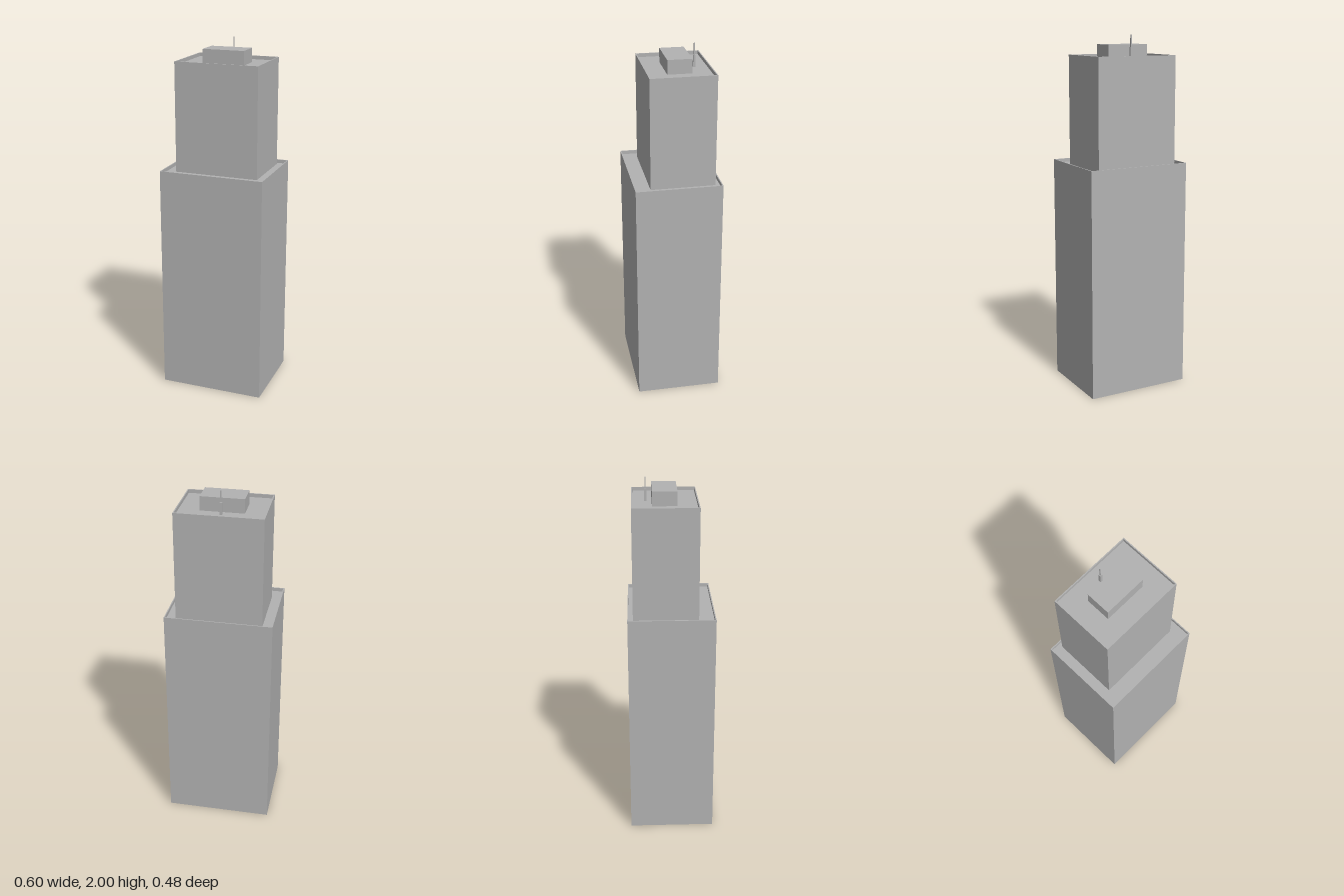
import * as THREE from 'three';

const concrete = new THREE.MeshStandardMaterial({ color: 0xb2b2b2 });
concrete.name = 'concreteGrey';

const RIM = 0.006;    // parapet thickness
const RECESS = 0.02;  // roof depth below the parapet top

// Box given by its base height, top height and centre depth
function block(name, width, depth, bottom, top, z) {
  const mesh = new THREE.Mesh(new THREE.BoxGeometry(width, top - bottom, depth), concrete);
  mesh.position.set(0, (bottom + top) / 2, z);
  mesh.name = name;
  return mesh;
}

function rectangle(PathType, w, d) {
  return new PathType([[-w, -d], [w, -d], [w, d], [-w, d]].map(([x, y]) => new THREE.Vector2(x / 2, y / 2)));
}

// Solid tower stage with a thin parapet around its recessed roof
function stage(name, width, depth, bottom, top, z) {
  const group = new THREE.Group();
  group.name = name;
  group.add(block(name + 'Walls', width, depth, bottom, top - RECESS, z));

  const frame = rectangle(THREE.Shape, width, depth);
  frame.holes.push(rectangle(THREE.Path, width - 2 * RIM, depth - 2 * RIM));
  const geometry = new THREE.ExtrudeGeometry(frame, { depth: RECESS, bevelEnabled: false });
  geometry.rotateX(-Math.PI / 2);
  const parapet = new THREE.Mesh(geometry, concrete);
  parapet.position.set(0, top - RECESS, z);
  parapet.name = name + 'Parapet';
  group.add(parapet);
  return group;
}

export function createModel() {
  const model = new THREE.Group();
  model.name = 'tower';

  // Two stepped stages
  model.add(stage('lowerStage', 0.595, 0.476, 0, 1.295, 0));
  model.add(stage('upperStage', 0.476, 0.357, 1.275, 1.89, -0.03));

  // Rooftop plant room
  model.add(block('plantRoom', 0.238, 0.134, 1.87, 1.948, -0.032));

  // Antenna: thicker foot and thin mast
  const antenna = new THREE.Group();
  antenna.name = 'antenna';
  antenna.add(block('antennaFoot', 0.013, 0.013, 1.87, 1.935, -0.133));
  antenna.add(block('antennaMast', 0.006, 0.006, 1.935, 2, -0.133));
  model.add(antenna);

  return model;
}
